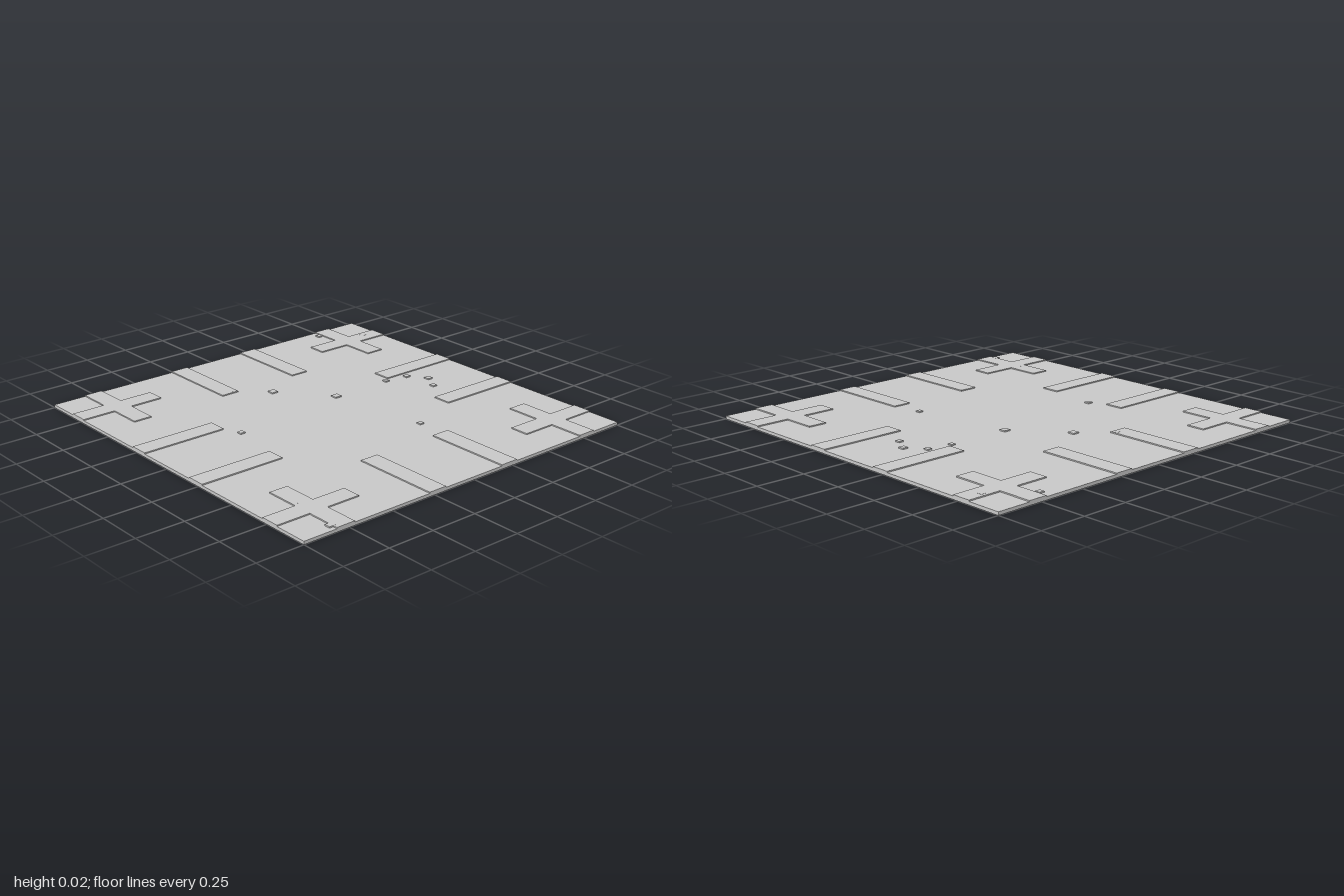
import * as THREE from 'three';

const BASE_TOP = 0.016;
const RIB_TOP = 0.022;
const material = new THREE.MeshStandardMaterial({ color: 0xcccccc, flatShading: true });

// Box given by its centre on the ground plane, its size and its vertical span
function slab(name, x, z, w, d, y0, y1) {
  const mesh = new THREE.Mesh(new THREE.BoxGeometry(w, y1 - y0, d), material);
  mesh.name = name;
  mesh.position.set(x, (y0 + y1) / 2, z);
  return mesh;
}

// Raised plus shape near a tile corner, its outer arms reaching the edges
function cornerCross(sx, sz) {
  const a = 0.54, b = 0.72, c = 0.82;
  const shape = new THREE.Shape([
    [b, a], [c, a], [c, b], [1, b], [1, c], [c, c],
    [c, 1], [b, 1], [b, c], [a, c], [a, b], [b, b],
  ].map(([x, z]) => new THREE.Vector2(x * sx, -z * sz)));
  const geometry = new THREE.ExtrudeGeometry(shape, { depth: RIB_TOP - BASE_TOP, bevelEnabled: false });
  geometry.rotateX(-Math.PI / 2);
  const mesh = new THREE.Mesh(geometry, material);
  mesh.name = 'cornerCross';
  mesh.position.y = BASE_TOP;
  return mesh;
}

export function createModel() {
  const group = new THREE.Group();
  group.name = 'floorTile';

  // Base plate
  group.add(slab('basePlate', 0, 0, 2, 2, 0, BASE_TOP));

  // Raised corner crosses, and two straight ribs running in from each edge
  for (const s of [-1, 1]) {
    for (const t of [-1, 1]) {
      group.add(cornerCross(s, t));
      group.add(slab('edgeRib', 0.23 * s, 0.77 * t, 0.1, 0.46, BASE_TOP, RIB_TOP));
      group.add(slab('edgeRib', 0.77 * s, 0.23 * t, 0.46, 0.1, BASE_TOP, RIB_TOP));
    }
  }

  // Scattered small studs: x, z, width
  const studs = [
    [-0.5, -0.09, 0.028], [-0.045, -0.42, 0.038], [0.165, -0.16, 0.038], [0.245, 0.385, 0.026],
    [0.51, -0.16, 0.026], [0.64, -0.14, 0.028], [0.71, -0.045, 0.032], [0.655, 0.05, 0.028],
    [-0.825, 0.96, 0.032], [0.7, -0.94, 0.028],
    [-0.79, 0.7, 0.02], [-0.2, -0.56, 0.026], [0.9, -0.79, 0.026],
  ];
  for (const [x, z, w] of studs) {
    group.add(slab('stud', x, z, w, w, 0.004, RIB_TOP + 0.0005));
  }
  return group;
}
